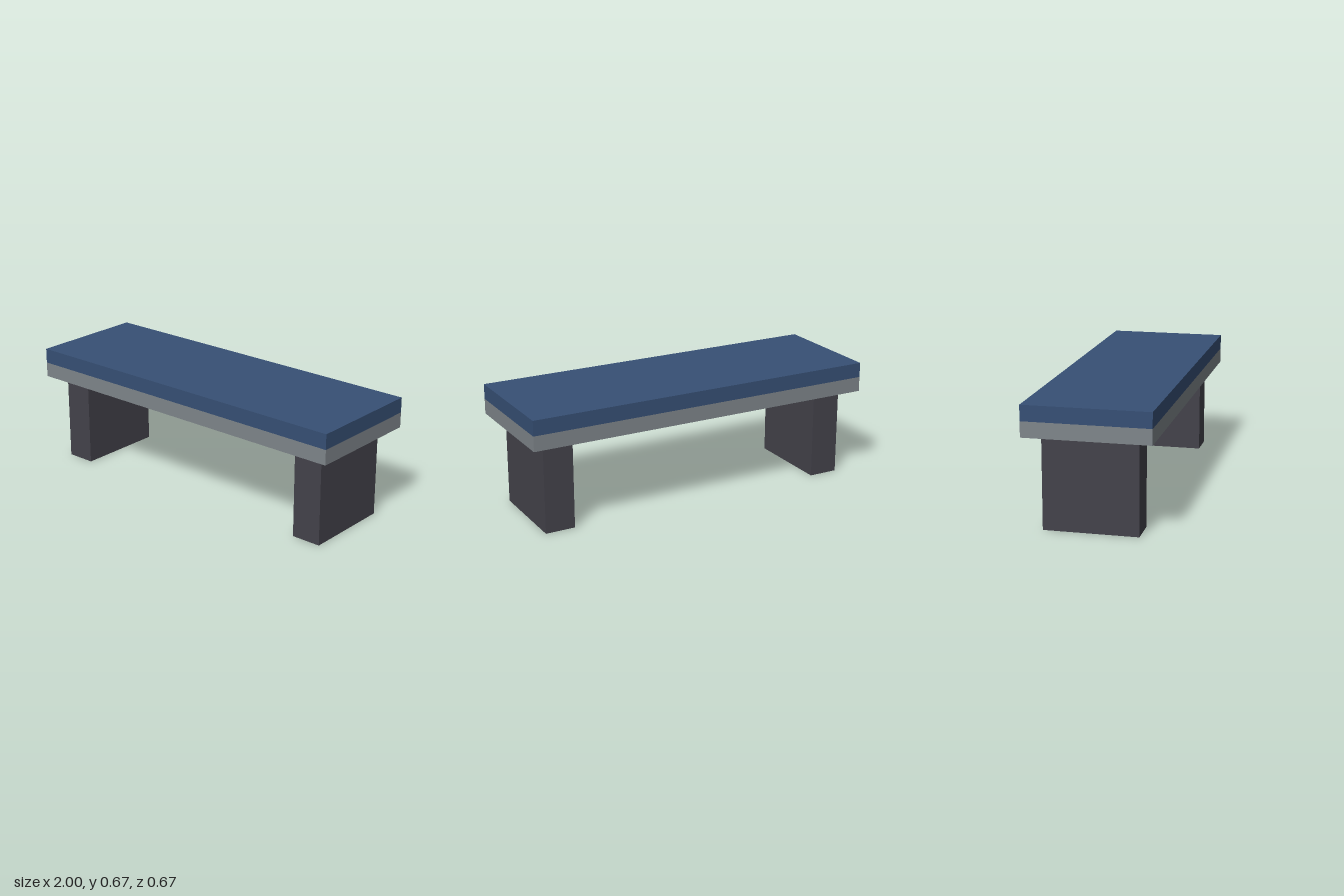
import * as THREE from 'three';

const material = (name, color) => {
  const m = new THREE.MeshStandardMaterial({ color });
  m.name = name;
  return m;
};

// Box placed by its base height
function block(name, [w, h, d], x, base, mat) {
  const mesh = new THREE.Mesh(new THREE.BoxGeometry(w, h, d), mat);
  mesh.name = name;
  mesh.position.set(x, base + h / 2, 0);
  return mesh;
}

export function createModel() {
  const blue = material('cushion blue', 0x375075);
  const grey = material('seat grey', 0x7f868b);
  const charcoal = material('leg charcoal', 0x44434b);

  const bench = new THREE.Group();
  bench.name = 'bench';

  const legHeight = 0.5;
  const layer = 1 / 12;
  const depth = 2 / 3;

  // Two-tone seat slab
  bench.add(block('seatBase', [2, layer, depth], 0, legHeight, grey));
  bench.add(block('seatTop', [2, layer, depth], 0, legHeight + layer, blue));

  // Mirrored slab legs
  for (const side of [-1, 1]) {
    const name = side > 0 ? 'leftLeg' : 'rightLeg';
    bench.add(block(name, [1 / 6, legHeight, 0.5], side * 5 / 6, 0, charcoal));
  }
  return bench;
}
